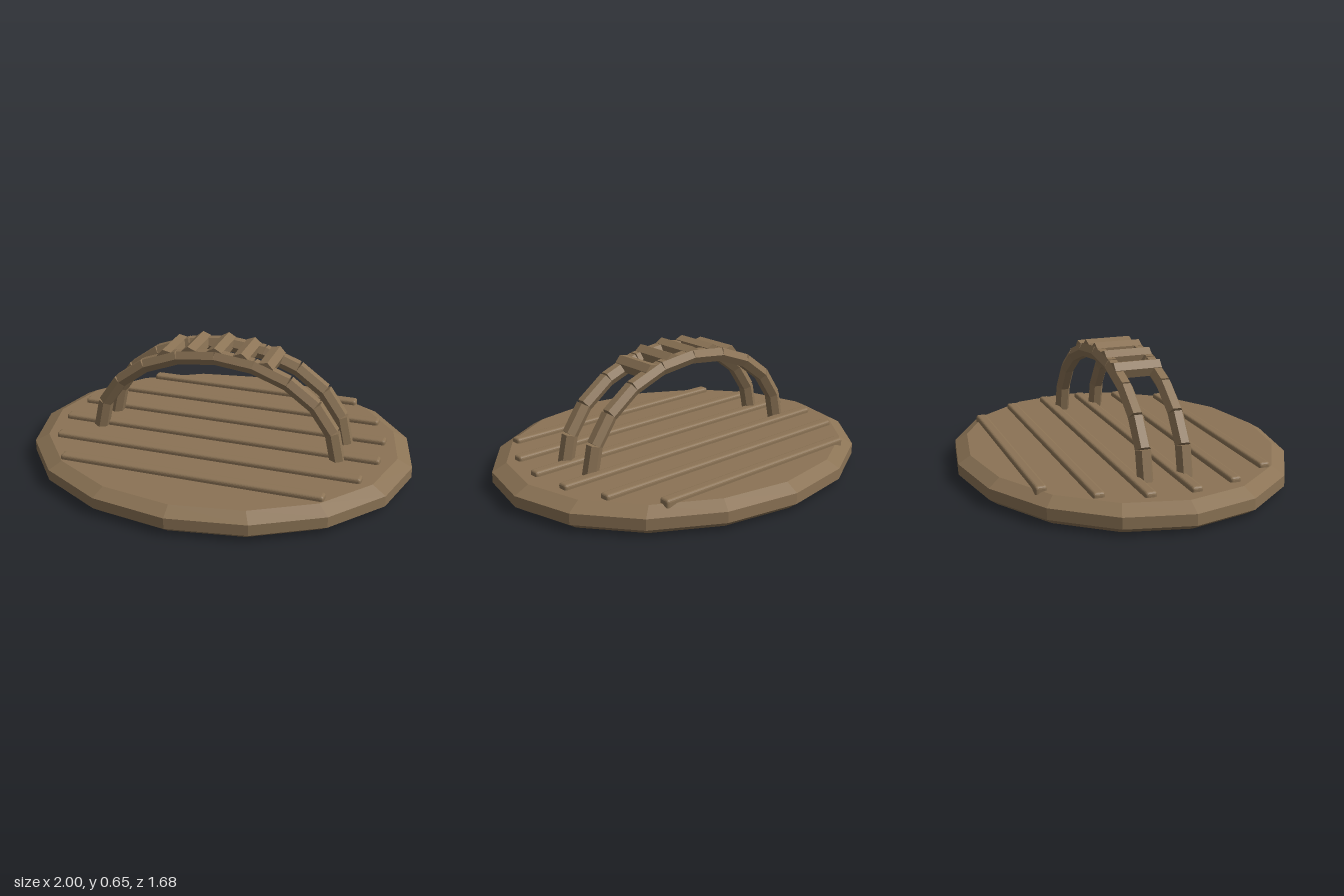
import * as THREE from 'three';
import { RoundedBoxGeometry } from 'three/addons/geometries/RoundedBoxGeometry.js';

const wood = new THREE.MeshStandardMaterial({ color: 0x8b7355 });
wood.name = 'brown wood';

// Faceted mesh: every face gets its own normal
function part(geometry, name) {
  const flat = geometry.index ? geometry.toNonIndexed() : geometry;
  flat.computeVertexNormals();
  const mesh = new THREE.Mesh(flat, wood);
  mesh.name = name;
  return mesh;
}

// Point on the half-elliptical handle curve
const archPoint = (a, z) => new THREE.Vector3(0.64 * Math.cos(a), 0.125 + 0.47 * Math.sin(a), z);

export function createModel() {
  const model = new THREE.Group();
  model.name = 'lid';

  // Sixteen-sided oval base with bevelled rims
  const profile = [[0, 0], [0.945, 0], [1, 0.035], [1, 0.09], [0.925, 0.128], [0, 0.128]]
    .map(([r, y]) => new THREE.Vector2(r, y));
  const disc = new THREE.LatheGeometry(profile, 16);
  disc.scale(1, 1, 0.84);
  model.add(part(disc, 'base'));

  // Raised ribs across the base: [z, half length]
  const ribs = [[-0.585, 0.6], [-0.367, 0.765], [-0.15, 0.84], [0.07, 0.85], [0.287, 0.8], [0.506, 0.67]];
  for (const [z, half] of ribs) {
    const rib = part(new RoundedBoxGeometry(half * 2, 0.06, 0.058, 2, 0.014), 'rib');
    rib.position.set(0, 0.123, z);
    model.add(rib);
  }

  // Two arches made of straight hexagonal segments
  const up = new THREE.Vector3(0, 1, 0);
  const count = 10;
  for (const z of [-0.1, 0.1]) {
    const arch = new THREE.Group();
    arch.name = z > 0 ? 'frontArch' : 'backArch';
    for (let i = 0; i < count; i++) {
      const a = archPoint(i * Math.PI / count, z);
      const b = archPoint((i + 1) * Math.PI / count, z);
      const dir = b.clone().sub(a);
      // a hexagon corner points along z, flats face outward
      const segment = part(new THREE.CylinderGeometry(0.04, 0.04, dir.length(), 6), 'archSegment');
      segment.position.copy(a).add(b).multiplyScalar(0.5);
      segment.quaternion.setFromUnitVectors(up, dir.normalize());
      arch.add(segment);
    }
    model.add(arch);
  }

  // Five hexagonal grip bars joining the arches, tilted along the curve
  for (let i = -2; i <= 2; i++) {
    const a = Math.PI / 2 - i * Math.PI / 15;
    const geometry = new THREE.CylinderGeometry(0.045, 0.045, 0.24, 6);
    geometry.rotateX(Math.PI / 2);
    // turn the upper corner to follow the arch normal
    geometry.rotateZ(Math.atan2(0.47 * Math.cos(a), -0.64 * Math.sin(a)) - Math.PI);
    const bar = part(geometry, 'gripBar');
    bar.position.copy(archPoint(a, 0));
    bar.position.y += 0.009;
    model.add(bar);
  }

  return model;
}
